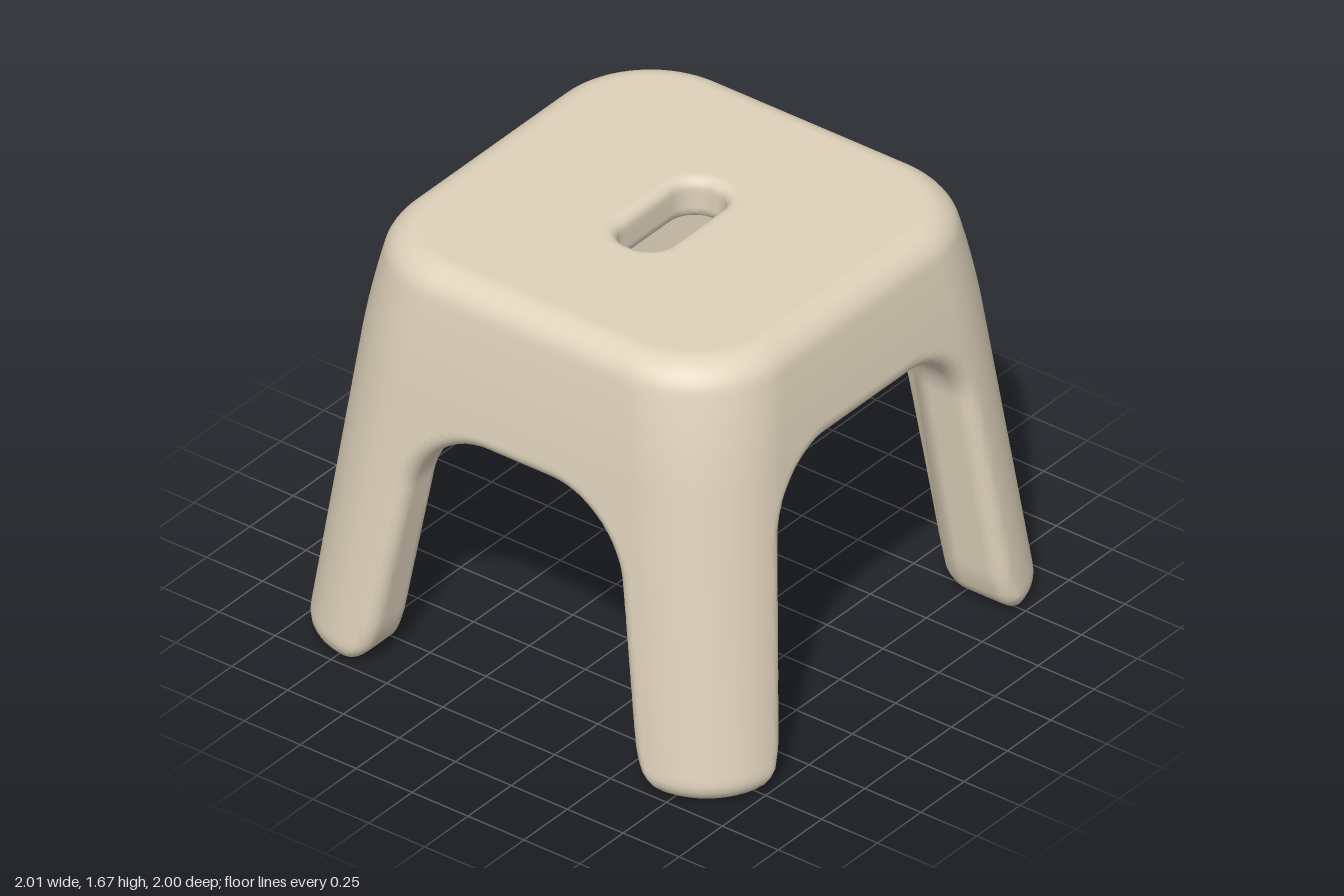
import * as THREE from 'three';

// Signed distance helpers: negative is inside
const roundRect = (x, y, hx, hy, r) => {
  const a = Math.abs(x) - hx + r, b = Math.abs(y) - hy + r;
  return Math.hypot(Math.max(a, 0), Math.max(b, 0)) + Math.min(Math.max(a, b), 0) - r;
};
// Intersection of two solids with a fillet of radius r
const blend = (a, b, r) =>
  Math.min(-r, Math.max(a, b)) + Math.hypot(Math.max(r + a, 0), Math.max(r + b, 0));
const cut = (a, b, r) => blend(a, -b, r);

// Arched opening: top height, half width at the floor, inward lean, corner radius.
// It flares slightly at the floor to round the inner side of each foot.
const arch = (u, y, top, width, lean, r) => {
  const flare = 1.2 * Math.max(0, 0.2 - y) ** 2;
  return blend(Math.abs(u) - width + lean * y - flare, y - top, r);
};

// The moulded stool as one rounded solid
function stool(x, y, z) {
  // Half width leans in, more strongly towards the seat
  const half = 1.012 - 0.1 * y - 0.12 * Math.max(0, y - 1.2) ** 2;
  // Tapered outer body with rounded corners and a soft top edge
  const outer = blend(roundRect(x, z, half, half, 0.32 + 0.045 * y), y - 1.67, 0.1);
  // Hollow underside, its corners cut diagonally to leave slab legs
  const diagonal = (Math.abs(x) + Math.abs(z) - 1.4 + 0.19 * y) * Math.SQRT1_2;
  const walls = blend(roundRect(x, z, half - 0.17, half - 0.17, 0.12), diagonal, 0.12);
  const cavity = blend(walls, y - 1.5, 0.16);
  // Openings between the legs: front and back, then left and right
  const frontArch = arch(x, y, 1.21, 0.648, 0.12, 0.26);
  const sideArch = arch(z, y, 1.06, 0.605, 0.17, 0.28);
  let d = cut(outer, cavity, 0.07);
  d = cut(d, frontArch, 0.062);
  d = cut(d, sideArch, 0.062);
  // Rounded feet and the hand hole through the seat
  d = blend(d, -y, 0.09);
  return cut(d, roundRect(x, z, 0.24, 0.107, 0.095), 0.045);
}

function gradient(f, x, y, z) {
  const e = 0.002;
  return new THREE.Vector3(
    f(x + e, y, z) - f(x - e, y, z),
    f(x, y + e, z) - f(x, y - e, z),
    f(x, y, z + e) - f(x, y, z - e)).divideScalar(2 * e);
}

// Skin a solid with a smooth grid of quads (surface nets)
function skin(f, min, size, step) {
  const [nx, ny, nz] = size.map(s => Math.round(s / step) + 1);
  const stride = [1, nx, nx * ny];
  const at = (i, j, k) => i + nx * j + nx * ny * k;
  const value = new Float32Array(nx * ny * nz);
  for (let k = 0; k < nz; k++) for (let j = 0; j < ny; j++) for (let i = 0; i < nx; i++)
    value[at(i, j, k)] = f(min[0] + i * step, min[1] + j * step, min[2] + k * step);

  // One vertex in each cell the surface crosses
  const vertex = new Int32Array(value.length).fill(-1);
  const position = [], normal = [], index = [];
  for (let k = 0; k < nz - 1; k++) for (let j = 0; j < ny - 1; j++) for (let i = 0; i < nx - 1; i++) {
    const sum = new THREE.Vector3();
    let count = 0;
    for (let c = 0; c < 8; c++) for (let a = 0; a < 3; a++) {
      if (c >> a & 1) continue;
      const o = [c & 1, c >> 1 & 1, c >> 2 & 1];
      const n = at(i + o[0], j + o[1], k + o[2]);
      const v0 = value[n], v1 = value[n + stride[a]];
      if ((v0 < 0) === (v1 < 0)) continue;
      o[a] += v0 / (v0 - v1);
      sum.add(new THREE.Vector3(...o));
      count++;
    }
    if (!count) continue;
    const p = sum.divideScalar(count).add(new THREE.Vector3(i, j, k))
      .multiplyScalar(step).add(new THREE.Vector3(...min));
    // Slide the vertex onto the exact surface
    for (let n = 0; n < 3; n++) {
      const g = gradient(f, p.x, p.y, p.z);
      const move = f(p.x, p.y, p.z) / Math.max(g.lengthSq(), 0.3);
      p.addScaledVector(g, -THREE.MathUtils.clamp(move, -step / 2, step / 2));
    }
    vertex[at(i, j, k)] = position.length / 3;
    position.push(p.x, p.y, p.z);
    normal.push(...gradient(f, p.x, p.y, p.z).normalize().toArray());
  }

  // One quad around each grid edge the surface crosses
  for (let k = 1; k < nz - 1; k++) for (let j = 1; j < ny - 1; j++) for (let i = 1; i < nx - 1; i++) {
    const n = at(i, j, k);
    for (let a = 0; a < 3; a++) {
      const inside = value[n] < 0;
      if (inside === (value[n + stride[a]] < 0)) continue;
      const b = stride[(a + 1) % 3], c = stride[(a + 2) % 3];
      const q = [n, n - b, n - b - c, n - c].map(m => vertex[m]);
      if (!inside) q.reverse();
      index.push(q[0], q[1], q[2], q[0], q[2], q[3]);
    }
  }
  const geometry = new THREE.BufferGeometry();
  geometry.setAttribute('position', new THREE.Float32BufferAttribute(position, 3));
  geometry.setAttribute('normal', new THREE.Float32BufferAttribute(normal, 3));
  geometry.setIndex(index);
  return geometry;
}

export function createModel() {
  const plastic = new THREE.MeshStandardMaterial({ color: 0xdfd2bb });
  plastic.name = 'warm beige plastic';
  const body = new THREE.Mesh(skin(stool, [-1.05, -0.06, -1.05], [2.1, 1.8, 2.1], 0.025), plastic);
  body.name = 'stoolBody';
  const group = new THREE.Group();
  group.name = 'stool';
  group.add(body);
  return group;
}
